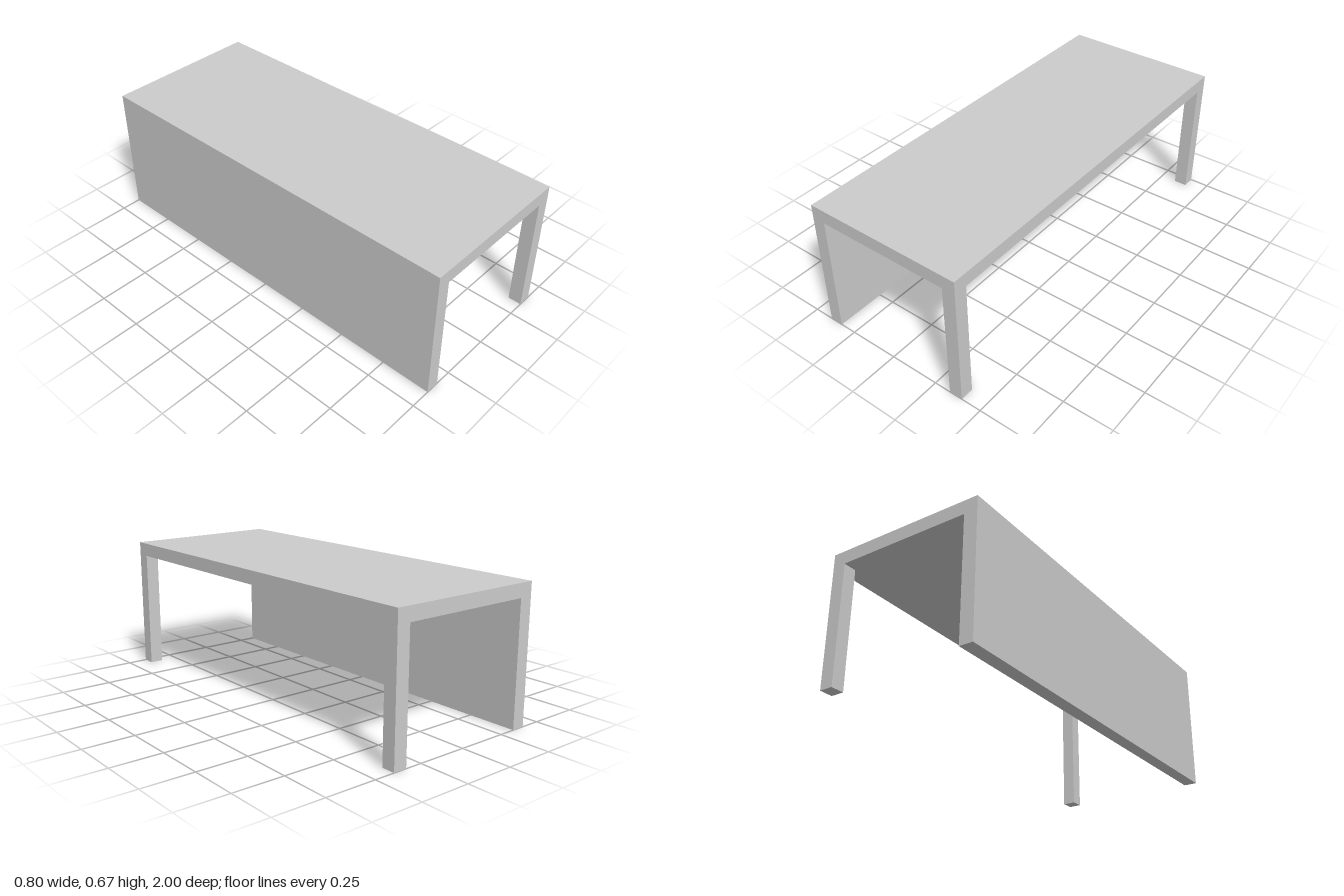
import * as THREE from 'three';

const WIDTH = 0.8, HEIGHT = 0.667, LENGTH = 2, THICK = 0.0667;

export function createModel() {
  const model = new THREE.Group();
  model.name = 'table';
  const material = new THREE.MeshStandardMaterial({ color: 0xcccccc, flatShading: true });

  const addBox = (name, w, h, d, x, y, z) => {
    const mesh = new THREE.Mesh(new THREE.BoxGeometry(w, h, d), material);
    mesh.name = name;
    mesh.position.set(x, y, z);
    model.add(mesh);
  };

  const legHeight = HEIGHT - THICK;
  const sideX = (WIDTH - THICK) / 2;
  const endZ = (LENGTH - THICK) / 2;

  // Flat slab across the whole top
  addBox('tableTop', WIDTH, THICK, LENGTH, 0, HEIGHT - THICK / 2, 0);

  // Solid panel closing the right side
  addBox('sidePanel', THICK, legHeight, LENGTH, -sideX, legHeight / 2, 0);

  // Two square legs on the open left side
  for (const [name, s] of [['frontLeg', 1], ['backLeg', -1]]) {
    addBox(name, THICK, legHeight, THICK, sideX, legHeight / 2, s * endZ);
  }

  return model;
}
